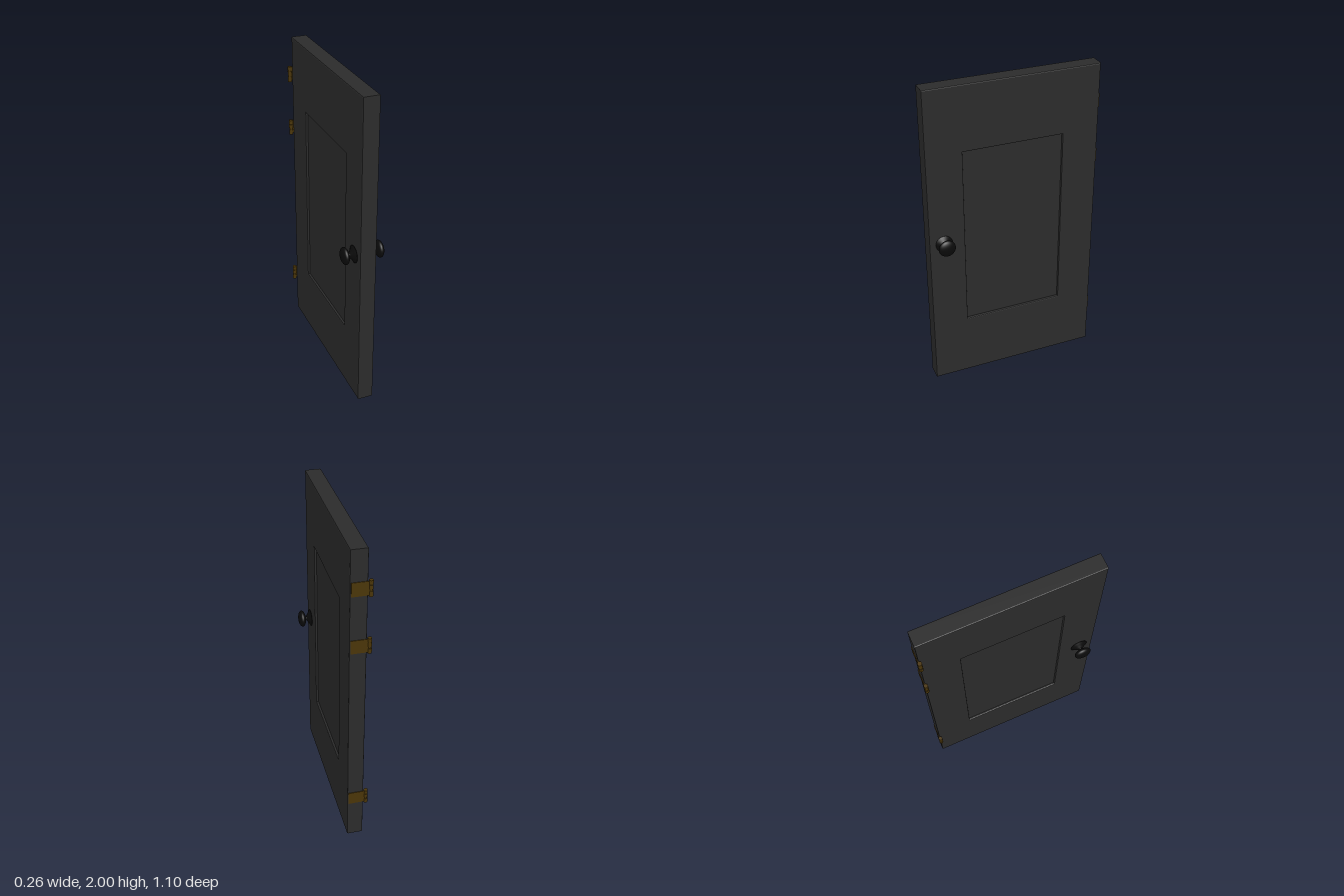
import * as THREE from 'three';

const doorMat = new THREE.MeshStandardMaterial({ color: 0x2b2b2b });
const knobMat = new THREE.MeshStandardMaterial({ color: 0x0a0a0a });
const brassMat = new THREE.MeshStandardMaterial({ color: 0x4a3508 });

function add(parent, name, geometry, material, x = 0, y = 0, z = 0) {
  const mesh = new THREE.Mesh(geometry, material);
  mesh.name = name;
  mesh.position.set(x, y, z);
  parent.add(mesh);
  return mesh;
}

// Rectangle outline between two corners
function rect(target, x0, y0, x1, y1) {
  target.moveTo(x0, y0);
  target.lineTo(x1, y0);
  target.lineTo(x1, y1);
  target.lineTo(x0, y1);
  target.closePath();
  return target;
}

// Slab with a bevelled opening, turned so its thickness runs along x
function frameGeometry() {
  const bevel = 0.007;
  const shape = rect(new THREE.Shape(), -0.546, 0, 0.54, 2);
  shape.holes.push(rect(new THREE.Path(), -0.32, 0.415, 0.31, 1.59));
  const geo = new THREE.ExtrudeGeometry(shape, {
    depth: 0.1 - 2 * bevel, bevelEnabled: true, bevelSize: bevel,
    bevelThickness: bevel, bevelOffset: -bevel, bevelSegments: 2,
  });
  geo.translate(0, 0, -0.05 + bevel);
  geo.rotateY(Math.PI / 2);
  return geo;
}

// Flared rose, thin stem and flattened round grip; axis along local y
function makeKnob(side) {
  const knob = new THREE.Group();
  knob.name = side > 0 ? 'leftKnob' : 'rightKnob';
  const rose = [[0, 0], [0.053, 0], [0.053, 0.004], [0.036, 0.013], [0.024, 0.023],
    [0.016, 0.028], [0.011, 0.03], [0.011, 0.045]].map(p => new THREE.Vector2(...p));
  add(knob, 'roseAndStem', new THREE.LatheGeometry(rose, 32), knobMat);
  const grip = new THREE.SphereGeometry(0.053, 32, 20);
  grip.scale(1, 0.024 / 0.053, 1);
  add(knob, 'grip', grip, knobMat, 0, 0.058, 0);
  knob.rotation.z = -side * Math.PI / 2;
  knob.position.set(side * 0.05, 1.01, 0.455);
  return knob;
}

// Leaf on the back edge with a knuckled barrel at the corner
function makeHinge(y) {
  const hinge = new THREE.Group();
  hinge.name = 'hinge';
  add(hinge, 'leaf', new THREE.BoxGeometry(0.102, 0.085, 0.006), brassMat, -0.008, 0, -0.541);
  add(hinge, 'pin', new THREE.CylinderGeometry(0.008, 0.008, 0.094, 16), brassMat, -0.066, 0, -0.538);
  const knuckles = [[0.034, 0.026], [0.006, 0.026], [-0.034, 0.032]];
  for (const [ky, h] of knuckles) {
    add(hinge, 'knuckle', new THREE.CylinderGeometry(0.0125, 0.0125, h, 16), brassMat, -0.066, ky, -0.538);
  }
  hinge.position.y = y;
  return hinge;
}

export function createModel() {
  const door = new THREE.Group();
  door.name = 'door';

  // Frame and the panel sunk into both faces
  add(door, 'frame', frameGeometry(), doorMat);
  add(door, 'panel', new THREE.BoxGeometry(0.07, 1.19, 0.642), doorMat, 0, 1.0025, 0.005);

  for (const side of [1, -1]) door.add(makeKnob(side));
  for (const y of [1.766, 1.408, 0.3]) door.add(makeHinge(y));
  return door;
}
